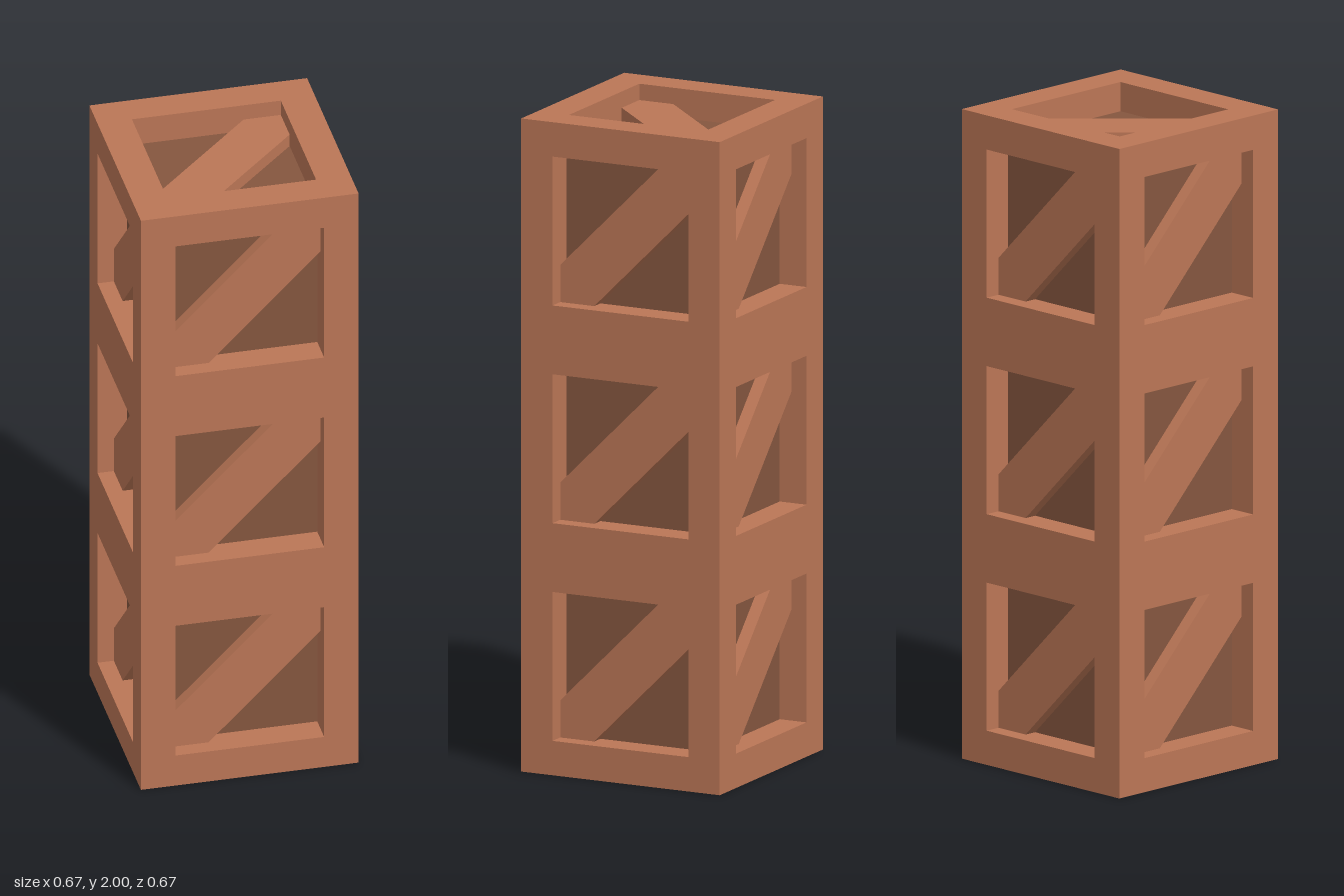
import * as THREE from 'three';
import { mergeGeometries } from 'three/addons/utils/BufferGeometryUtils.js';

const CELL = 2 / 3;      // side of one crate
const HALF = CELL / 2;
const OPEN = 0.228;      // half width of an opening
const RECESS = 0.09;     // depth of the panels behind the frame
const BRACE = 0.05;      // depth of the brace front behind the frame

const frameMat = new THREE.MeshStandardMaterial({ color: 0xbb7656 });
frameMat.name = 'frame wood';
const panelMat = new THREE.MeshStandardMaterial({ color: 0x85563f });
panelMat.name = 'panel wood';

const mesh = (name, geometry, material) => {
  const m = new THREE.Mesh(geometry, material);
  m.name = name;
  return m;
};

const rect = (w, h, y = 0, Type = THREE.Shape) =>
  new Type([[-w, y - h], [w, y - h], [w, y + h], [-w, y + h]].map(p => new THREE.Vector2(...p)));

// Flat frame with one square opening per cell, plus the inner walls of each opening
function frameGeometry(centres) {
  const outline = rect(HALF, HALF * centres.length);
  for (const y of centres) outline.holes.push(rect(OPEN, OPEN, y, THREE.Path));
  const parts = [new THREE.ShapeGeometry(outline)];
  for (const y of centres) {
    for (let k = 0; k < 4; k++) {
      parts.push(new THREE.PlaneGeometry(OPEN * 2, RECESS)
        .rotateX(-Math.PI / 2)
        .translate(0, -OPEN, -RECESS / 2)
        .rotateZ(k * Math.PI / 2)
        .translate(0, y, 0));
    }
  }
  return mergeGeometries(parts);
}

// Diagonal board, its ends trimmed to the corners of the opening
function braceGeometry() {
  const a = OPEN, b = OPEN / 2;
  const shape = new THREE.Shape(
    [[-a, -a], [-b, -a], [a, b], [a, a], [b, a], [-a, -b]].map(p => new THREE.Vector2(...p)));
  return new THREE.ExtrudeGeometry(shape, { depth: RECESS - BRACE, bevelEnabled: false })
    .translate(0, 0, -RECESS);
}

// One side of the stack, facing +z with its outer surface at z = 0
function makeFace(name, centres) {
  const face = new THREE.Group();
  face.name = name;
  face.add(mesh('frame', frameGeometry(centres), frameMat));
  for (const y of centres) {
    const brace = mesh('brace', braceGeometry(), frameMat);
    brace.position.y = y;
    face.add(brace);
  }
  return face;
}

export function createModel() {
  const model = new THREE.Group();
  model.name = 'crateStack';

  // Recessed panels, shared by all sides
  const inner = CELL - RECESS * 2;
  const core = mesh('panels', new THREE.BoxGeometry(inner, 2 - RECESS * 2, inner), panelMat);
  core.position.y = 1;
  model.add(core);

  // Four tall sides
  ['frontSide', 'leftSide', 'backSide', 'rightSide'].forEach((name, i) => {
    const side = makeFace(name, [-CELL, 0, CELL]);
    const angle = i * Math.PI / 2;
    side.rotation.y = angle;
    side.position.set(Math.sin(angle) * HALF, 1, Math.cos(angle) * HALF);
    model.add(side);
  });

  // Top and bottom
  const top = makeFace('topSide', [0]);
  top.rotation.x = -Math.PI / 2;
  top.position.y = 2;
  const bottom = makeFace('bottomSide', [0]);
  bottom.rotation.set(Math.PI / 2, 0, Math.PI / 2);
  model.add(top, bottom);

  return model;
}
